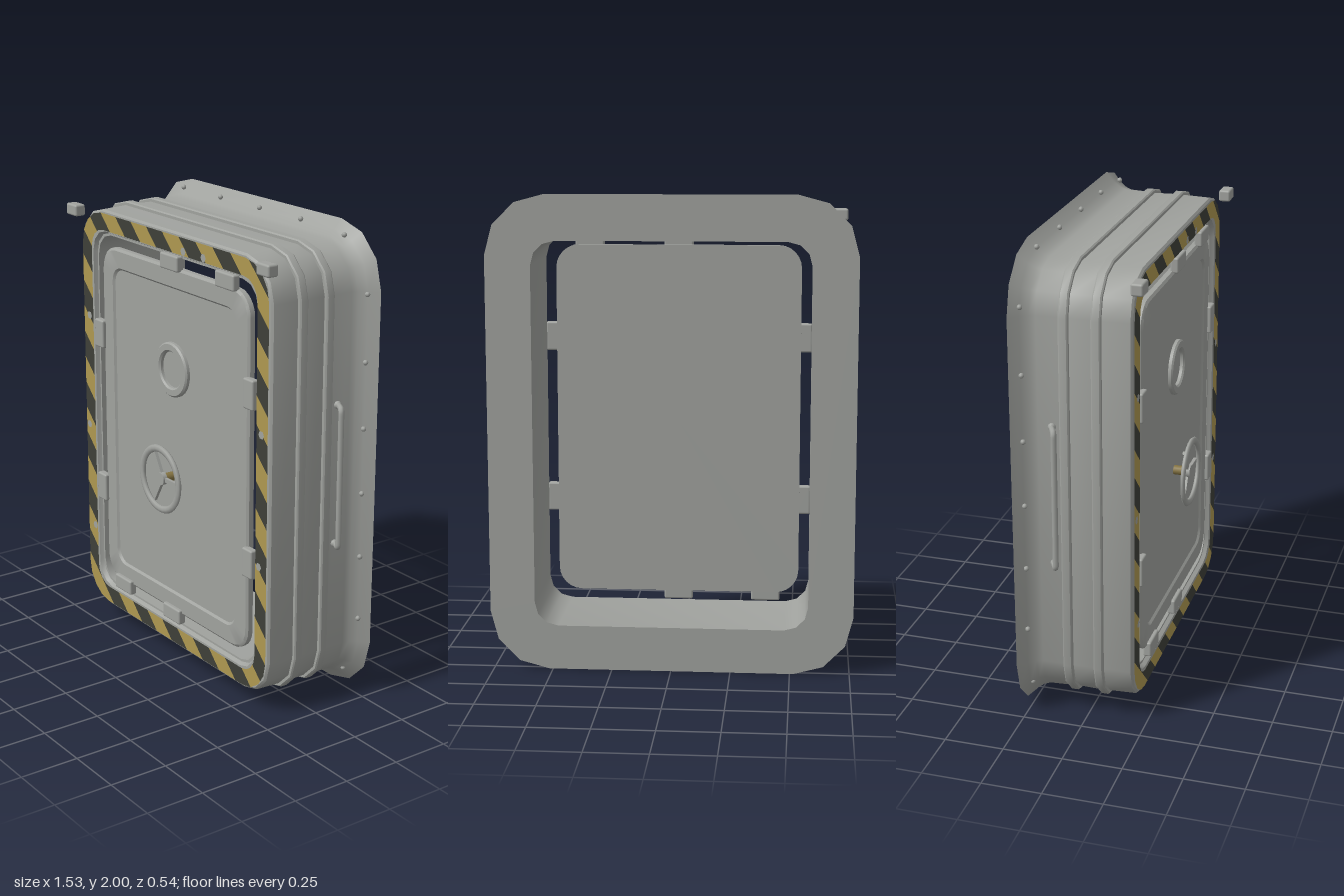
import * as THREE from 'three';
import { toCreasedNormals } from 'three/addons/utils/BufferGeometryUtils.js';
import { RoundedBoxGeometry } from 'three/addons/geometries/RoundedBoxGeometry.js';

const TALL = 0.235; // extra half height of every outline over its half width

// rounded rectangle outline, counter-clockwise, by half width
function outline(off, r, seg) {
  const pts = [];
  for (let c = 0; c < 4; c++) {
    const sx = c === 0 || c === 3 ? 1 : -1, sy = c < 2 ? 1 : -1;
    for (let i = 0; i <= seg; i++) {
      const a = (c + i / seg) * Math.PI / 2;
      pts.push([sx * (off - r) + r * Math.cos(a), sy * (off + TALL - r) + r * Math.sin(a)]);
    }
  }
  return pts;
}

// skin rounded-rectangle loops [half width, z, corner radius]; closed joins last to first
function loft(loops, seg, closed) {
  const rings = loops.map(([o, z, r]) => outline(o, r, seg).map(([x, y]) => new THREE.Vector3(x, y, z)));
  const pos = [], n = rings[0].length;
  const tri = (...v) => v.forEach(p => pos.push(p.x, p.y, p.z));
  const count = closed ? rings.length : rings.length - 1;
  for (let k = 0; k < count; k++) {
    const A = rings[k], B = rings[(k + 1) % rings.length];
    for (let i = 0; i < n; i++) {
      const j = (i + 1) % n;
      tri(A[i], B[i], B[j]);
      tri(A[i], B[j], A[j]);
    }
  }
  if (!closed) {
    const F = rings[0], R = rings[rings.length - 1];
    const f = new THREE.Vector3(0, 0, F[0].z), b = new THREE.Vector3(0, 0, R[0].z);
    for (let i = 0; i < n; i++) {
      const j = (i + 1) % n;
      tri(f, F[i], F[j]);
      tri(b, R[j], R[i]);
    }
  }
  const g = new THREE.BufferGeometry();
  g.setAttribute('position', new THREE.Float32BufferAttribute(pos, 3));
  return toCreasedNormals(g, 0.6);
}

// keep the part of a polygon where sign * (x + y - limit) >= 0
function clip(poly, limit, sign) {
  const out = [], d = p => sign * (p[0] + p[1] - limit);
  poly.forEach((p, i) => {
    const q = poly[(i + 1) % poly.length], a = d(p), b = d(q);
    if (a >= 0) out.push(p);
    if (a * b < 0) out.push([p[0] + (q[0] - p[0]) * a / (a - b), p[1] + (q[1] - p[1]) * a / (a - b)]);
  });
  return out;
}

// diagonal bands of the hazard border; phase 0 or 1 picks alternate bands
function stripes(phase, z) {
  const outer = outline(0.67, 0.155, 4), inner = outline(0.597, 0.09, 4);
  const pos = [], half = 0.1175, start = -0.204;
  outer.forEach((p, i) => {
    const j = (i + 1) % outer.length;
    const quad = [p, outer[j], inner[j], inner[i]];
    for (let k = -14 + phase; k < 18; k += 2) {
      const c = clip(clip(quad, start + k * half, 1), start + (k + 1) * half, -1);
      for (let m = 1; m < c.length - 1; m++)
        for (const v of [c[0], c[m], c[m + 1]]) pos.push(v[0], v[1], z);
    }
  });
  const g = new THREE.BufferGeometry();
  g.setAttribute('position', new THREE.Float32BufferAttribute(pos, 3));
  g.computeVertexNormals();
  return g;
}

export function createModel() {
  const model = new THREE.Group();
  const mat = (name, color) => Object.assign(new THREE.MeshStandardMaterial({ color }), { name });
  const steel = mat('grey steel', 0xa0a29e);
  const yellow = mat('hazard yellow', 0xae9850);
  const black = mat('hazard black', 0x3e4038);
  const brass = mat('dark brass', 0x857443);

  const add = (name, geo, m, x = 0, y = 0, z = 0, parent = model) => {
    const mesh = new THREE.Mesh(geo, m);
    mesh.name = name;
    mesh.position.set(x, y, z);
    parent.add(mesh);
    return mesh;
  };

  // frame: ribbed outer wall, flared rear flange, straight tunnel inside
  const wall = [[0.675, 0.2], [0.684, 0.192]];
  for (const z of [0.06, -0.07])
    wall.push([0.688, z + 0.02], [0.7, z + 0.02], [0.705, z + 0.014], [0.705, z - 0.014], [0.7, z - 0.02], [0.69, z - 0.02]);
  wall.push([0.694, -0.18], [0.703, -0.205], [0.725, -0.235], [0.764, -0.27]);
  const frameLoops = wall.map(([o, z]) => [o, z, o - 0.515]);
  frameLoops.push([0.575, -0.27, 0.1], [0.575, 0.183, 0.1], [0.584, 0.183, 0.1], [0.592, 0.2, 0.1]);
  add('frame', loft(frameLoops, 3, true), steel, 0, 1, 0);

  // hazard border with a few worn chips
  add('yellowStripes', stripes(1, 0.205), yellow, 0, 1, 0);
  add('blackStripes', stripes(0, 0.205), black, 0, 1, 0);
  for (const [x, y] of [[-0.625, 1.43], [0.1, 1.85], [0.24, 1.85], [0.63, 1.22], [0.62, 0.66], [-0.645, 0.92], [-0.615, 0.44]])
    add('wornChip', new THREE.CircleGeometry(0.018, 6), steel, x, y, 0.2065);

  // door with recessed panel
  add('door', loft([[0.44, 0.186, 0.06], [0.449, 0.195, 0.066], [0.52, 0.195, 0.095],
    [0.53, 0.187, 0.1], [0.53, 0.165, 0.1]], 6, false), steel, 0, 1, 0);

  // clamps bridging the gap between door and frame
  const clamp = (x, y, w, h) => add('clamp', new RoundedBoxGeometry(w, h, 0.035, 2, 0.008), steel, x, y, 0.1945);
  for (const s of [-1, 1]) for (const y of [1.365, 0.65]) clamp(s * 0.545, y, 0.066, 0.125);
  for (const x of [0, 0.385]) {
    clamp(x, 1.788, 0.126, 0.066);
    clamp(-x, 0.226, 0.126, 0.066);
  }

  // porthole ring
  const ringProfile = [[0.078, 0], [0.117, 0], [0.117, 0.014], [0.11, 0.021], [0.085, 0.021], [0.078, 0.014], [0.078, 0]];
  const ring = new THREE.LatheGeometry(ringProfile.map(p => new THREE.Vector2(...p)), 32);
  add('portholeRing', toCreasedNormals(ring.rotateX(Math.PI / 2), 0.6), steel, 0, 1.33, 0.185);

  // handwheel: shaft, hub, three spokes and rim
  const wheel = new THREE.Group();
  wheel.name = 'handwheel';
  wheel.position.set(0, 0.86, 0);
  model.add(wheel);
  const disc = (r, len) => new THREE.CylinderGeometry(r, r, len, 16).rotateX(Math.PI / 2);
  add('shaft', disc(0.02, 0.06), brass, 0, 0, 0.212, wheel);
  add('hub', disc(0.027, 0.02), steel, 0, 0, 0.25, wheel);
  const rim = add('rim', new THREE.TorusGeometry(0.134, 0.016, 8, 32), steel, 0, 0, 0.259, wheel);
  rim.scale.z = 0.65;
  for (let i = 0; i < 3; i++) {
    const spoke = new THREE.BoxGeometry(0.115, 0.018, 0.014).translate(0.07, 0, 0).rotateZ(i * Math.PI * 2 / 3);
    add('spoke', spoke, steel, 0, 0, 0.246, wheel);
  }

  for (const s of [-1, 1]) {
    // upper corner blocks
    add('cornerBlock', new RoundedBoxGeometry(0.08, 0.05, 0.05, 2, 0.009), steel, s * 0.685, 1.895, 0.228);

    // side grab handles
    const path = new THREE.CurvePath(), v = (x, y, z) => new THREE.Vector3(s * x, y, z);
    path.add(new THREE.LineCurve3(v(0.685, 1.3, -0.13), v(0.73, 1.3, -0.107)));
    path.add(new THREE.QuadraticBezierCurve3(v(0.73, 1.3, -0.107), v(0.748, 1.3, -0.098), v(0.748, 1.28, -0.098)));
    path.add(new THREE.LineCurve3(v(0.748, 1.28, -0.098), v(0.748, 0.73, -0.098)));
    path.add(new THREE.QuadraticBezierCurve3(v(0.748, 0.73, -0.098), v(0.748, 0.71, -0.098), v(0.73, 0.71, -0.107)));
    path.add(new THREE.LineCurve3(v(0.73, 0.71, -0.107), v(0.685, 0.71, -0.13)));
    add('grabHandle', new THREE.TubeGeometry(path, 80, 0.012, 8), steel);
    for (const y of [1.3, 0.71]) add('handleFoot', new THREE.SphereGeometry(0.016, 10, 8), steel, s * 0.695, y, -0.122);
  }

  // bolts around the flared flange
  const bolt = (x, y) => add('bolt', new THREE.SphereGeometry(0.011, 8, 6), steel, x, y, -0.229);
  for (let i = 0; i < 6; i++) {
    bolt(-0.731, 0.41 + i * 0.276);
    bolt(0.731, 0.36 + i * 0.276);
  }
  for (let i = 0; i < 5; i++) bolt(-0.522 + i * 0.276, i < 4 ? 1.966 : 1.95);
  for (let i = 0; i < 4; i++) bolt(-0.445 + i * 0.276, 0.034);
  bolt(-0.685, 0.14);
  bolt(0.645, 0.1);

  return model;
}
